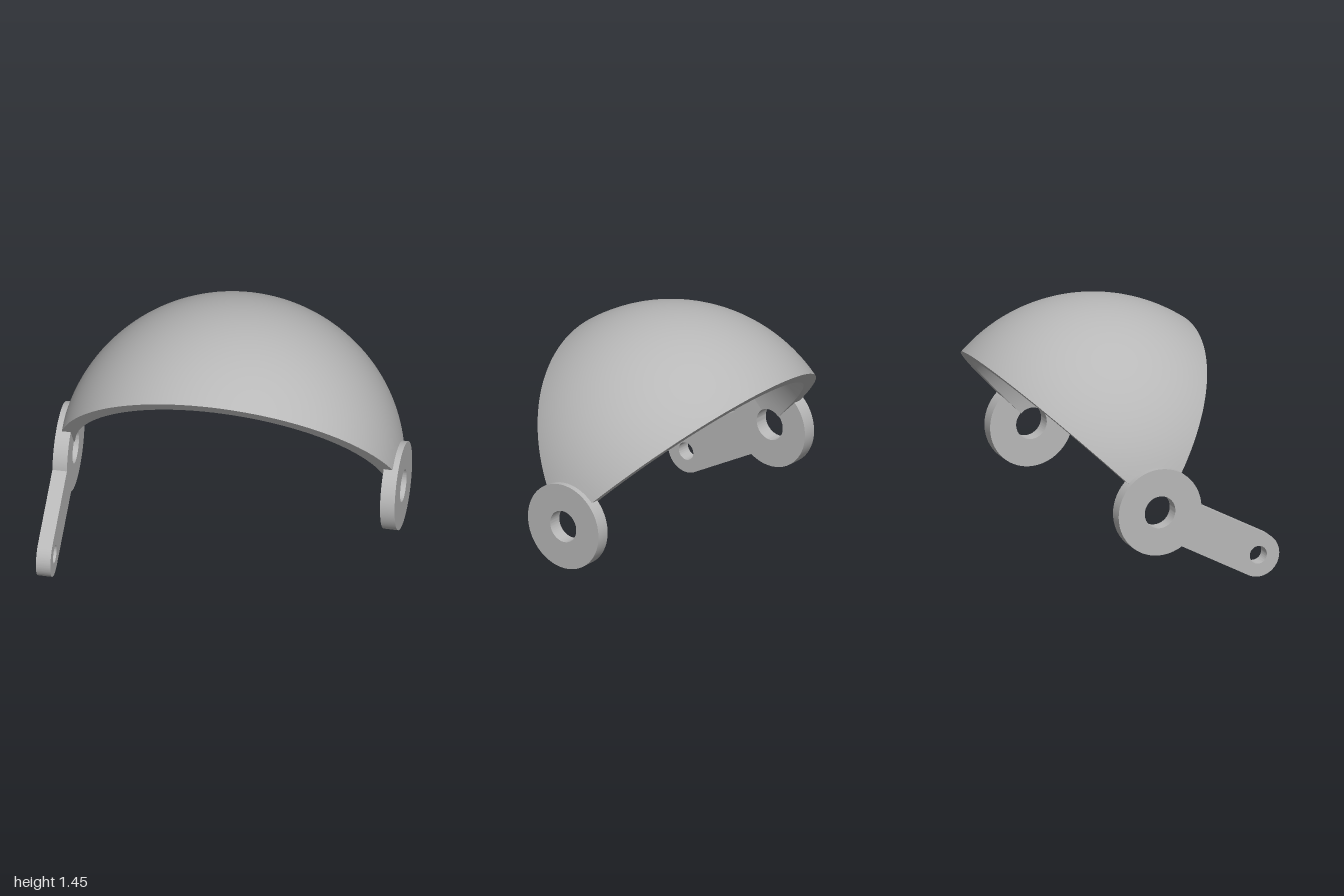
import * as THREE from 'three';
import { toCreasedNormals } from 'three/addons/utils/BufferGeometryUtils.js';

const OUTER = 1, INNER = 0.914;            // shell radii
const HUB = 0.257, HOLE = 0.095;           // pivot ring radii
const FACE = 0.915;                        // inner face of the pivot rings
const FRONT = THREE.MathUtils.degToRad(35), BACK = THREE.MathUtils.degToRad(-45);

// Points (radius from pivot axis, position along it) on a circle, cut off at radius rMin
function arc(radius, rMin, n = 64) {
  const end = Math.acos(rMin / radius);
  return Array.from({ length: n + 1 }, (_, i) => {
    const t = -end + (2 * end * i) / n;
    return new THREE.Vector2(radius * Math.cos(t), radius * Math.sin(t));
  });
}

export function createModel() {
  const model = new THREE.Group();
  const grey = new THREE.MeshStandardMaterial({ color: 0xb8b8b8 });
  grey.name = 'grey';

  const add = (name, geometry, parent) => {
    const mesh = new THREE.Mesh(geometry, grey);
    mesh.name = name;
    parent.add(mesh);
  };

  // Everything turns about the pivot axis
  const visor = new THREE.Group();
  visor.name = 'visor';
  visor.position.set(0, 0.455, -0.015);
  model.add(visor);

  // Dome: a wedge of a spherical shell
  const outer = arc(OUTER, HUB), inner = arc(INNER, HOLE).reverse();
  const sweep = (points) =>
    new THREE.LatheGeometry(points, 48, BACK - Math.PI / 2, FRONT - BACK).rotateZ(-Math.PI / 2);
  add('domeOuter', sweep(outer), visor);
  add('domeInner', sweep(inner), visor);

  // Flat cut rims of the dome
  const toShape = (p) => new THREE.Vector2(p.y, p.x);
  const rim = new THREE.Shape([
    ...outer.map(toShape),
    new THREE.Vector2(FACE, HUB), new THREE.Vector2(FACE, HOLE),
    ...inner.map(toShape),
    new THREE.Vector2(-FACE, HOLE), new THREE.Vector2(-FACE, HUB),
  ]);
  add('frontRim', new THREE.ShapeGeometry(rim).rotateX(FRONT), visor);
  add('backRim', new THREE.ShapeGeometry(rim).rotateY(Math.PI).rotateX(BACK), visor);

  // Pivot plates, extruded along the pivot axis
  const hole = (x, r) => new THREE.Path().absarc(x, 0, r, 0, Math.PI * 2, true);
  const plate = (shape, angle, x) => {
    const g = new THREE.ExtrudeGeometry(shape, { depth: 1 - FACE, bevelEnabled: false, curveSegments: 48 });
    return toCreasedNormals(g.rotateZ(angle).rotateY(-Math.PI / 2).translate(x, 0, 0), 0.5);
  };

  const ring = new THREE.Shape().absarc(0, 0, HUB, 0, Math.PI * 2, false);
  ring.holes.push(hole(0, HOLE));
  add('leftPivotRing', plate(ring, 0, 1), visor);

  // Right ring carries a lever with a rounded, drilled end
  const dz = 0.61, dy = -0.325, width = 0.13;
  const length = Math.hypot(dz, dy), join = Math.asin(width / HUB);
  const lever = new THREE.Shape();
  lever.absarc(0, 0, HUB, join, Math.PI * 2 - join, false);
  lever.absarc(length, 0, width, -Math.PI / 2, Math.PI / 2, false);
  lever.closePath();
  lever.holes.push(hole(0, HOLE), hole(length, 0.053));
  add('rightPivotLever', plate(lever, Math.atan2(dy, dz), -FACE), visor);

  return model;
}
